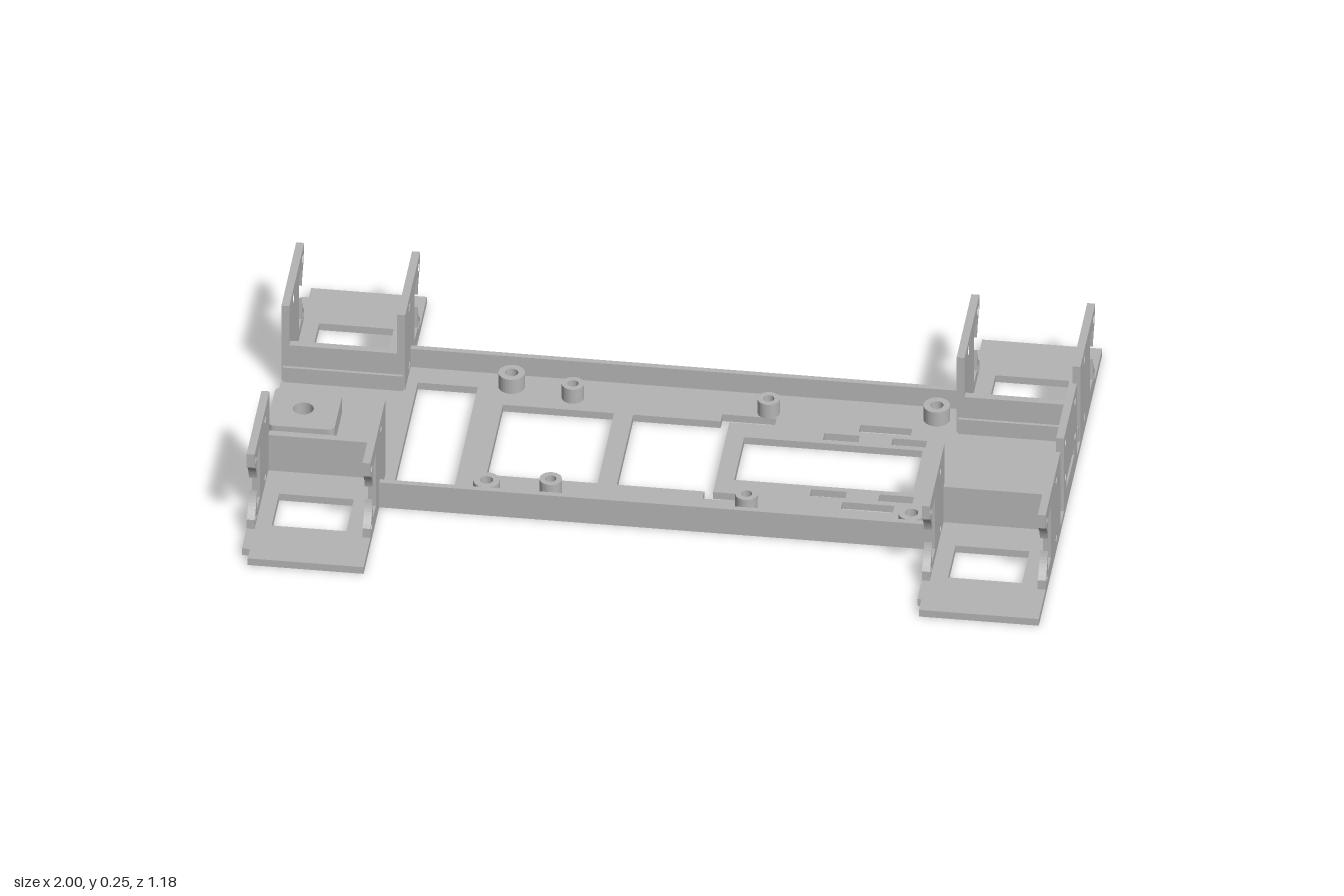
import * as THREE from 'three';

const T = 0.02; // sheet thickness

// closed shape or hole from [a, b] points
const poly = (pts, Type = THREE.Shape) => new Type(pts.map(([a, b]) => new THREE.Vector2(a, b)));
const rectPts = (a0, a1, b0, b1) => [[a0, b0], [a1, b0], [a1, b1], [a0, b1]];
const rectHole = (a0, a1, b0, b1) => poly(rectPts(a0, a1, b0, b1), THREE.Path);
const roundHole = (a, b, r) => new THREE.Path().absarc(a, b, r, 0, Math.PI * 2, true);

// shape drawn in (x, -z), extruded upward
function slab(shape, height) {
  const g = new THREE.ExtrudeGeometry(shape, { depth: height, bevelEnabled: false, curveSegments: 16 });
  return g.rotateX(-Math.PI / 2);
}

// shape drawn in (z, y), extruded along x and centred on x = 0
function upright(shape) {
  const g = new THREE.ExtrudeGeometry(shape, { depth: T, bevelEnabled: false, curveSegments: 16 });
  return g.rotateY(-Math.PI / 2).translate(T / 2, 0, 0);
}

function basePlateShape() {
  // half outline on the +b side, mirrored for the other
  const half = [
    [1, 0.591], [0.7, 0.591], [0.7, 0.545], [0.69, 0.545], [0.69, 0.3],
    [-0.69, 0.3], [-0.69, 0.591], [-0.98, 0.591], [-0.98, 0.55], [-1, 0.55],
  ];
  const shape = poly([...half, ...half.map(([a, b]) => [a, -b]).reverse()]);
  shape.holes.push(
    rectHole(-0.663, -0.513, -0.22, 0.22),
    rectHole(-0.441, -0.163, -0.153, 0.153),
    rectHole(0.171, 0.618, -0.093, 0.093),
    roundHole(-0.92, 0, 0.026),
  );
  // middle window with its two side slots
  const win = [[-0.115, 0.153], [0.104, 0.153], [0.104, 0.184], [0.24, 0.184], [0.24, 0.153], [0.126, 0.153]];
  shape.holes.push(poly([...win, ...win.map(([a, b]) => [a, -b]).reverse()], THREE.Path));
  for (const s of [-1, 1]) {
    const hole = (a0, a1, b0, b1) => shape.holes.push(rectHole(a0, a1, Math.min(s * b0, s * b1), Math.max(s * b0, s * b1)));
    hole(0.45, 0.58, 0.153, 0.184);
    hole(0.366, 0.455, 0.108, 0.137);
    hole(0.537, 0.623, 0.108, 0.137);
    hole(-0.94, -0.753, 0.303, 0.442);
    hole(0.753, 0.938, 0.303, 0.442);
  }
  return shape;
}

// bracket with an open, hooked window; s is the side along z
function bracketShape(s) {
  const cy = 0.126, cz = 0.51, r = 0.092;
  const arc = (y) => [cz - Math.sqrt(r * r - (y - cy) ** 2), y];
  const lower = [], upper = [];
  for (let i = 0; i <= 8; i++) {
    const d = 0.079 - (0.06 * i) / 8;
    lower.push(arc(cy - d));
    upper.unshift(arc(cy + d));
  }
  const pts = [
    [0.186, T], [0.463, T], ...lower,
    [0.417, 0.047], [0.362, 0.047], [0.362, 0.205], [0.417, 0.205],
    ...upper, [0.463, 0.245], [0.186, 0.245],
  ];
  const shape = poly(pts.map(([z, y]) => [s * z, y]));
  for (const z of [0.263, 0.439]) for (const y of [0.04, 0.214]) shape.holes.push(roundHole(s * z, y, 0.011));
  return shape;
}

export function createModel() {
  const grey = new THREE.MeshStandardMaterial({ color: 0xb4b4b4 });
  grey.name = 'grey';
  const model = new THREE.Group();
  model.name = 'chassis';

  const add = (name, geometry, x = 0, y = 0, z = 0) => {
    const mesh = new THREE.Mesh(geometry, grey);
    mesh.name = name;
    mesh.position.set(x, y, z);
    model.add(mesh);
  };

  add('basePlate', slab(basePlateShape(), T));

  for (const s of [-1, 1]) {
    add('sideWall', new THREE.BoxGeometry(1.38, 0.055, 0.015), 0, 0.0475, s * 0.2925);

    // servo brackets, with a cross wall between each pair
    const bracket = upright(bracketShape(s));
    for (const e of [-1, 1]) {
      add('outerBracket', bracket, e * 0.99);
      add('innerBracket', bracket, e * 0.7);
      add('crossWall', new THREE.BoxGeometry(0.27, 0.107, 0.02), e * 0.845, 0.0735, s * 0.196);
      add('crossWallLip', new THREE.BoxGeometry(0.3, 0.044, 0.008), e * 0.845, 0.042, s * 0.182);
    }

    // hollow screw posts
    for (const [x, z, r] of [[-0.43, 0.235, 0.033], [-0.273, 0.208, 0.028], [0.217, 0.208, 0.028], [0.634, 0.235, 0.033]]) {
      const ring = new THREE.Shape().absarc(0, 0, r, 0, Math.PI * 2);
      ring.holes.push(roundHole(0, 0, r * 0.5));
      add('screwPost', slab(ring, 0.042), x, T, s * z);
    }
  }

  // end panel with screw holes and a cable slot
  const panel = poly(rectPts(-0.12, 0.12, T, 0.24));
  for (const z of [-0.09, 0.09]) for (const y of [0.105, 0.21]) panel.holes.push(roundHole(z, y, 0.012));
  panel.holes.push(rectHole(-0.072, 0.072, 0.057, 0.084));
  add('endPanel', upright(panel), 0.99);

  // rounded block with a through hole at the other end
  const x0 = -1, x1 = -0.832, h = 0.083, c = 0.018;
  const block = new THREE.Shape();
  block.moveTo(x0 + c, -h).lineTo(x1 - c, -h);
  block.absarc(x1 - c, -h + c, c, -Math.PI / 2, 0);
  block.absarc(x1 - c, h - c, c, 0, Math.PI / 2);
  block.absarc(x0 + c, h - c, c, Math.PI / 2, Math.PI);
  block.absarc(x0 + c, -h + c, c, Math.PI, Math.PI * 1.5);
  block.holes.push(roundHole(-0.92, 0, 0.026));
  add('mountBlock', slab(block, 0.05), 0, T, 0);

  return model;
}
